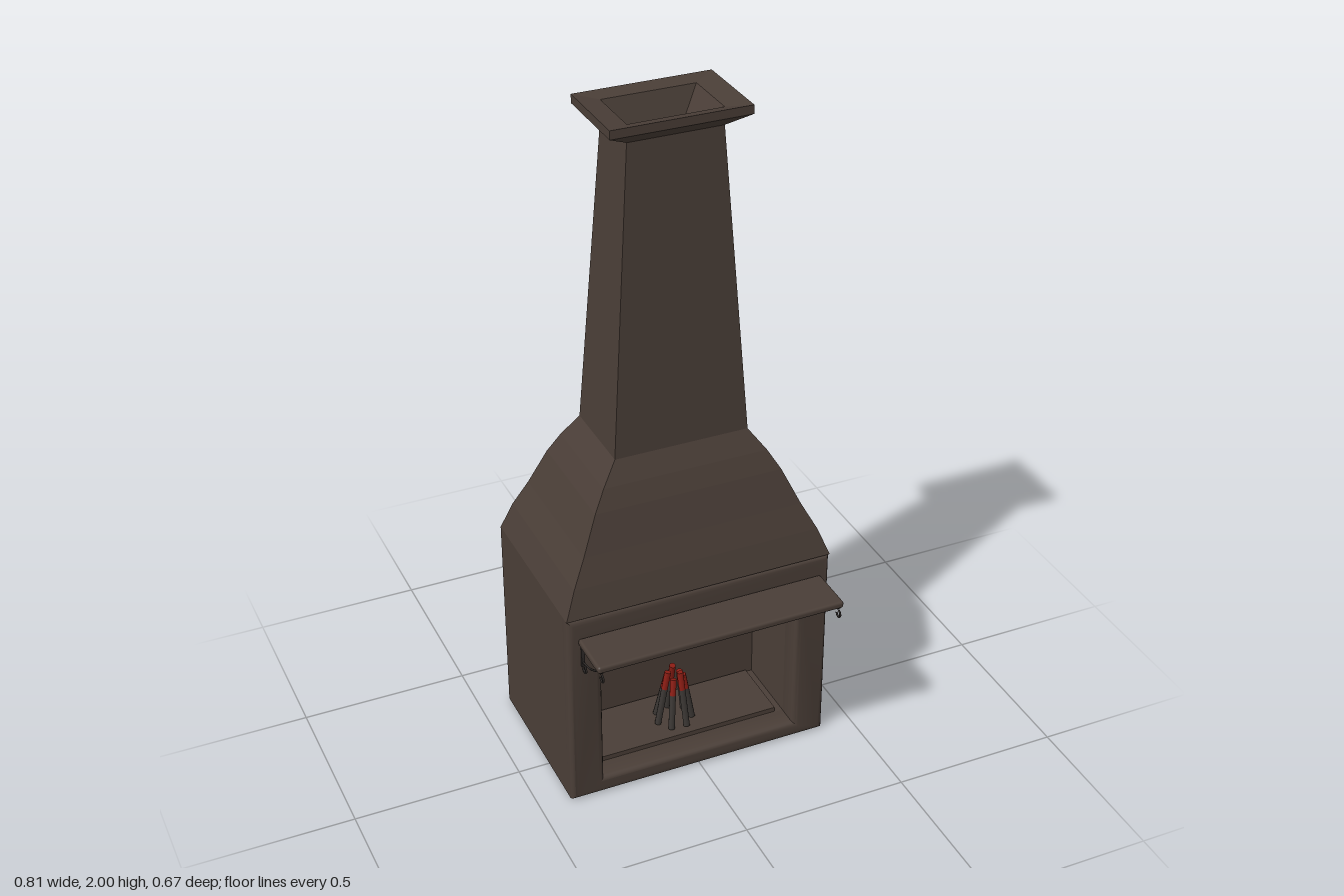
import * as THREE from 'three';
import { toCreasedNormals } from 'three/addons/utils/BufferGeometryUtils.js';
import { RoundedBoxGeometry } from 'three/addons/geometries/RoundedBoxGeometry.js';

const mat = (name, color) => new THREE.MeshStandardMaterial({ name, color });

// Rectangular rings [y, halfWidth, zBack, zFront] joined by flat quads
function loft(rings) {
  const pos = [];
  const corners = ([y, w, z0, z1]) => [[-w, y, z1], [w, y, z1], [w, y, z0], [-w, y, z0]];
  for (let r = 0; r < rings.length - 1; r++) {
    const a = corners(rings[r]), b = corners(rings[r + 1]);
    for (let i = 0; i < 4; i++) {
      const j = (i + 1) % 4;
      pos.push(...a[i], ...a[j], ...b[j], ...a[i], ...b[j], ...b[i]);
    }
  }
  const g = new THREE.BufferGeometry();
  g.setAttribute('position', new THREE.Float32BufferAttribute(pos, 3));
  g.computeVertexNormals();
  return g;
}

// Upright rectangle with a rectangular hole
function frameShape(w, y0, y1, hw, h0, h1) {
  const rect = (path, x, a, b) => path.moveTo(-x, a).lineTo(x, a).lineTo(x, b).lineTo(-x, b).closePath();
  const shape = rect(new THREE.Shape(), w, y0, y1);
  shape.holes.push(rect(new THREE.Path(), hw, h0, h1));
  return shape;
}

export function createModel() {
  const model = new THREE.Group();
  model.name = 'fireplace';
  const stone = mat('brownStone', 0x4a3e37);
  const iron = mat('darkIron', 0x2e2a28);
  const charred = mat('charredWood', 0x3a3633);
  const ember = mat('redEmber', 0x8c1d14);

  const add = (name, geo, material, x = 0, y = 0, z = 0, parent = model) => {
    const m = new THREE.Mesh(geo, material);
    m.name = name;
    m.position.set(x, y, z);
    parent.add(m);
    return m;
  };

  // Firebox: solid back and hollow middle
  add('bodyBack', new THREE.BoxGeometry(0.81, 0.635, 0.235), stone, 0, 0.3175, -0.2175);
  add('firebox', new THREE.ExtrudeGeometry(frameShape(0.405, 0, 0.635, 0.305, 0.05, 0.478),
    { depth: 0.25, bevelEnabled: false }), stone, 0, 0, -0.1);

  // Front surround with softened edges
  const surround = new THREE.ExtrudeGeometry(frameShape(0.387, 0.018, 0.617, 0.321, 0.035, 0.494),
    { depth: 0.044, bevelThickness: 0.018, bevelSize: 0.018, bevelSegments: 4 });
  add('frontSurround', toCreasedNormals(surround, 0.7), stone, 0, 0, 0.123);
  add('hearthTray', new THREE.BoxGeometry(0.56, 0.02, 0.2), stone, 0, 0.055, 0.01);

  // Curved hood
  const hood = [[0.635, 0], [0.72, 0.16], [0.8, 0.36], [0.91, 0.6], [0.97, 0.77], [1.035, 1]];
  add('hood', loft(hood.map(([y, t]) =>
    [y, 0.405 - 0.205 * t, -0.335 + 0.13 * t, 0.182 - 0.132 * t])), stone);

  // Tapered chimney, flared cap and hollow flue
  add('chimney', loft([[1.035, 0.2, -0.205, 0.05], [1.94, 0.137, -0.163, 0.01]]), stone);
  add('chimneyCap', loft([
    [1.94, 0.137, -0.163, 0.01], [1.975, 0.2, -0.206, 0.051], [2, 0.2, -0.206, 0.051],
    [1.99, 0.136, -0.163, 0.01], [1.88, 0.072, -0.125, -0.03], [1.88, 0, -0.0775, -0.0775],
  ]), stone);

  // Mantel shelf
  add('mantelShelf', new RoundedBoxGeometry(0.75, 0.022, 0.148, 3, 0.008), stone, 0, 0.565, 0.259);

  // Scrolled brackets under the shelf
  const brace = new THREE.CatmullRomCurve3([[0.553, 0.318], [0.525, 0.275], [0.505, 0.235], [0.493, 0.19]]
    .map(([y, z]) => new THREE.Vector3(0, y, z)));
  for (const side of [-1, 1]) {
    const bracket = new THREE.Group();
    bracket.name = side > 0 ? 'leftBracket' : 'rightBracket';
    bracket.position.x = side * 0.362;
    model.add(bracket);
    add('braceRod', new THREE.TubeGeometry(brace, 16, 0.003, 6), iron, 0, 0, 0, bracket);
    add('wallStrap', new THREE.BoxGeometry(0.01, 0.075, 0.006), iron, 0, 0.517, 0.188, bracket);
    add('shelfStrap', new THREE.BoxGeometry(0.01, 0.005, 0.135), iron, 0, 0.552, 0.258, bracket);
    for (const [y, z] of [[0.534, 0.325], [0.476, 0.199]]) {
      const curl = new THREE.TorusGeometry(0.011, 0.003, 6, 14, Math.PI * 1.5);
      add('curl', curl, iron, 0, y, z, bracket).rotation.set(Math.PI / 2, Math.PI / 2, 0);
    }
  }

  // Leaning sticks with glowing tips
  const sticks = new THREE.Group();
  sticks.name = 'fireSticks';
  model.add(sticks);
  const up = new THREE.Vector3(0, 1, 0);
  for (let i = 0; i < 7; i++) {
    const a = i / 7 * Math.PI * 2 + 0.3;
    const foot = new THREE.Vector3(-0.017 + 0.055 * Math.cos(a), 0.068, 0.03 + 0.055 * Math.sin(a));
    const tip = new THREE.Vector3(-0.013 + 0.024 * Math.cos(a), 0.225 + 0.02 * (i % 2), 0.03 + 0.02 * Math.sin(a));
    const dir = tip.clone().sub(foot), len = dir.length();
    const q = new THREE.Quaternion().setFromUnitVectors(up, dir.normalize());
    for (const [name, m, from, to] of [['stick', charred, 0, 0.68], ['emberTip', ember, 0.68, 1]]) {
      const c = foot.clone().addScaledVector(dir, len * (from + to) / 2);
      add(name, new THREE.CylinderGeometry(0.01, 0.01, len * (to - from), 8), m, c.x, c.y, c.z, sticks)
        .quaternion.copy(q);
    }
  }
  return model;
}
